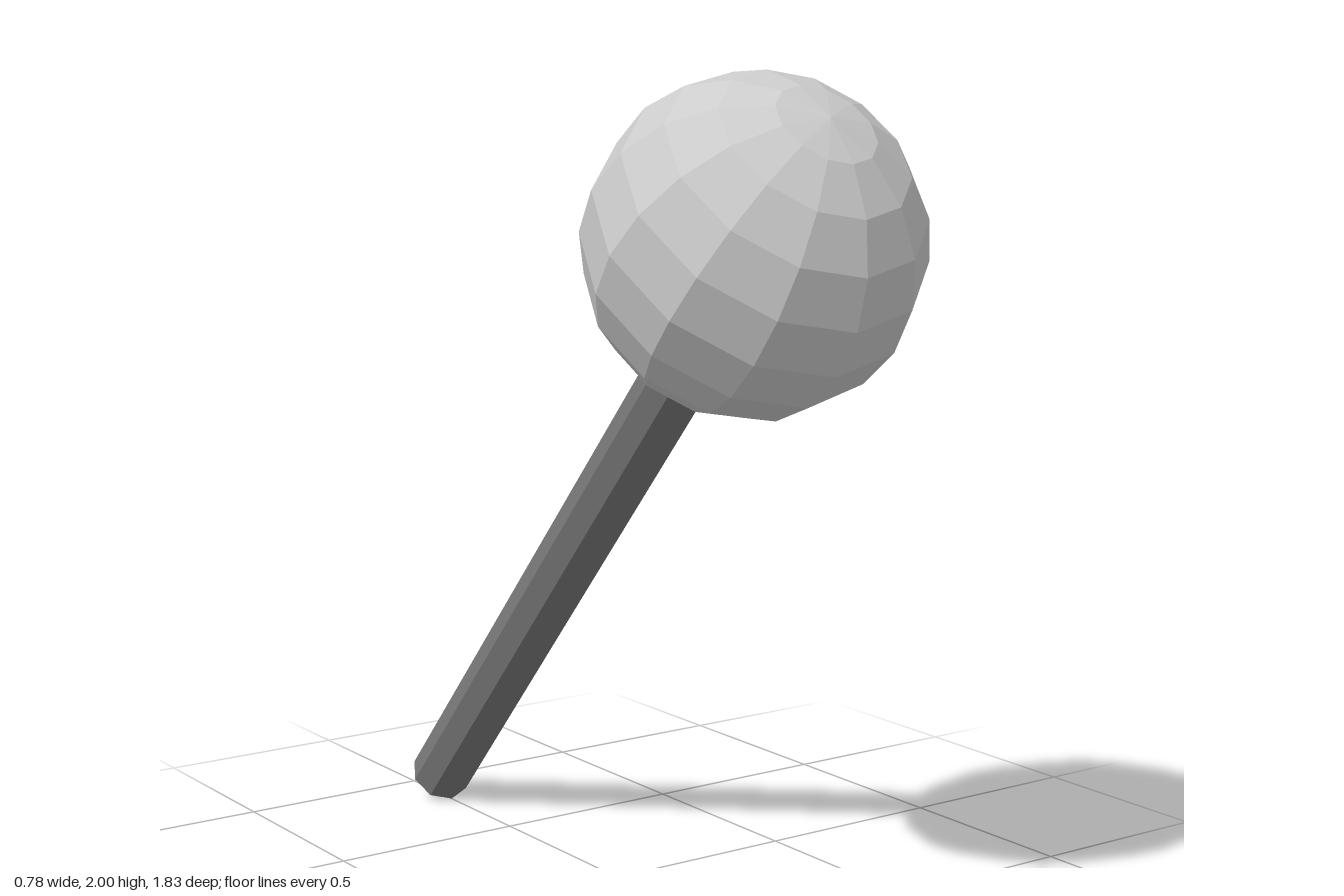
import * as THREE from 'three';

const TILT = THREE.MathUtils.degToRad(41.7); // lean of the shaft towards the front
const BALL_RADIUS = 0.39;
const SHAFT_RADIUS = 0.08;
const SHAFT_REACH = 2.085; // ball centre to the foot of the shaft

export function createModel() {
  const model = new THREE.Group();
  model.name = 'ballOnStick';

  // Both parts share one leaning axis that passes through the ball centre
  const axis = new THREE.Group();
  axis.name = 'leaningAxis';
  axis.position.set(0, 1.61, 0.53);
  axis.rotation.x = TILT;
  model.add(axis);

  // Faceted ball, its poles on the axis
  const ball = new THREE.Mesh(
    new THREE.SphereGeometry(BALL_RADIUS, 12, 10),
    new THREE.MeshStandardMaterial({ color: 0xcccccc, flatShading: true })
  );
  ball.name = 'ball';
  axis.add(ball);

  // Eight-sided shaft, its top sunk into the ball
  const top = -BALL_RADIUS + 0.1;
  const length = SHAFT_REACH + top;
  const shaft = new THREE.Mesh(
    new THREE.CylinderGeometry(SHAFT_RADIUS, SHAFT_RADIUS, length, 8),
    new THREE.MeshStandardMaterial({ color: 0x777777, flatShading: true })
  );
  shaft.name = 'shaft';
  shaft.position.y = top - length / 2;
  axis.add(shaft);

  return model;
}
